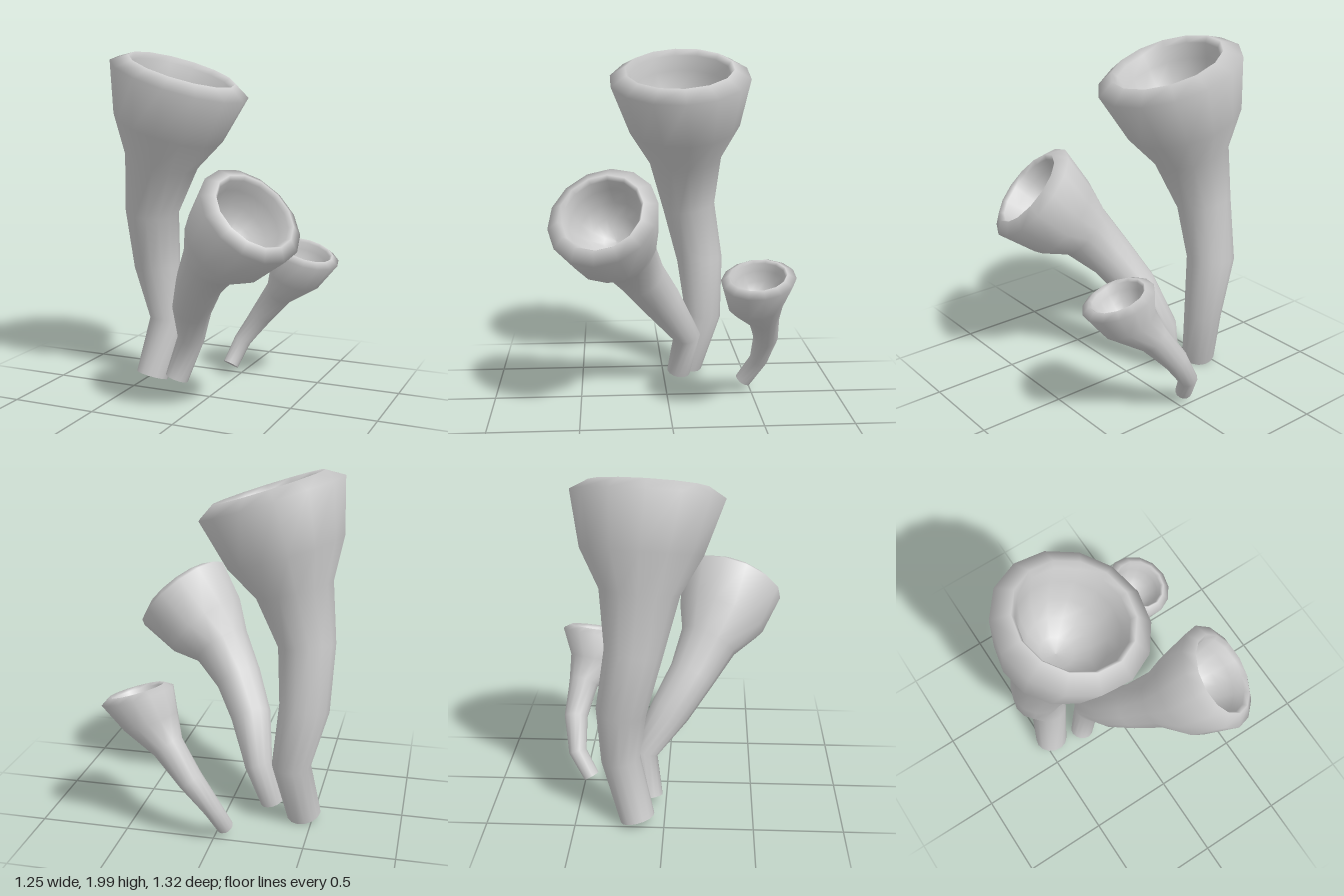
import * as THREE from 'three';

const SIDES = 14;

// Lip and hollow, as [radius, height along the mouth axis] relative to the rim radius
const CUP = [[0.77, 0.14], [0.71, 0.06], [0.66, -0.15], [0.57, -0.42], [0.42, -0.65], [0.22, -0.79], [0, -0.83]];

// Stalk rings as [x, y, z, radius] from foot to rim; mouth = direction the cup faces
const TRUMPETS = [
  {
    name: 'largeTrumpet', mouth: [0.32, 0.95, 0.05],
    rings: [
      [-0.45, 0.04, -0.15, 0.098], [-0.387, 0.385, -0.245, 0.11], [-0.45, 0.72, -0.23, 0.14],
      [-0.446, 1.06, -0.16, 0.16], [-0.366, 1.365, -0.13, 0.218], [-0.313, 1.565, -0.12, 0.33],
      [-0.227, 1.845, -0.09, 0.412],
    ],
  },
  {
    name: 'mediumTrumpet', mouth: [0.68, 0.68, 0.29],
    rings: [
      [-0.253, 0.065, -0.087, 0.07], [-0.178, 0.31, -0.13, 0.082], [-0.1, 0.545, 0.02, 0.117],
      [0.0, 0.725, 0.14, 0.135], [0.12, 0.885, 0.23, 0.17], [0.235, 0.985, 0.305, 0.255],
      [0.395, 1.155, 0.363, 0.306],
    ],
  },
  {
    name: 'smallTrumpet', mouth: [0.3, 0.95, 0.13],
    rings: [
      [-0.055, 0.07, -0.457, 0.048], [-0.01, 0.21, -0.54, 0.053], [0.11, 0.385, -0.56, 0.07],
      [0.24, 0.55, -0.525, 0.09], [0.355, 0.665, -0.46, 0.155], [0.425, 0.81, -0.463, 0.202],
    ],
  },
];

// One continuous skin: foot cap, stalk, flare, lip and hollow
function trumpetGeometry({ rings, mouth }) {
  const axis = new THREE.Vector3(...mouth).normalize();
  const centres = rings.map(([x, y, z]) => new THREE.Vector3(x, y, z));
  const last = rings.length - 1;
  const sections = rings.map((ring, i) => {
    const n = centres[Math.min(i + 1, last)].clone().sub(centres[Math.max(i - 1, 0)]).normalize();
    if (i === last) n.copy(axis);
    if (i === last - 1) n.lerp(axis, 0.7).normalize();
    return { c: centres[i], n, r: ring[3] };
  });
  // The foot ring is doubled to keep a sharp edge around the cap
  sections.unshift({ ...sections[0], r: 0 }, { ...sections[0] });
  const rim = rings[last][3];
  for (const [r, h] of CUP) {
    sections.push({ c: centres[last].clone().addScaledVector(axis, h * rim), n: axis, r: r * rim });
  }

  const positions = [], index = [];
  sections.forEach(({ c, n, r }, i) => {
    const u = new THREE.Vector3(1, 0, 0).addScaledVector(n, -n.x).normalize();
    const v = n.clone().cross(u);
    for (let j = 0; j < SIDES; j++) {
      const t = (j / SIDES) * Math.PI * 2;
      const p = c.clone().addScaledVector(u, r * Math.cos(t)).addScaledVector(v, r * Math.sin(t));
      positions.push(p.x, p.y, p.z);
      if (i === 0 || i === 2) continue;
      const a = (i - 1) * SIDES + j, b = (i - 1) * SIDES + (j + 1) % SIDES;
      if (i > 1) index.push(a, b, b + SIDES);
      if (r > 0) index.push(a, b + SIDES, a + SIDES);
    }
  });
  const geometry = new THREE.BufferGeometry();
  geometry.setAttribute('position', new THREE.Float32BufferAttribute(positions, 3));
  geometry.setIndex(index);
  geometry.computeVertexNormals();
  return geometry;
}

export function createModel() {
  const group = new THREE.Group();
  group.name = 'trumpetCluster';
  const material = new THREE.MeshStandardMaterial({ color: 0xcccccc });
  for (const trumpet of TRUMPETS) {
    const mesh = new THREE.Mesh(trumpetGeometry(trumpet), material);
    mesh.name = trumpet.name;
    group.add(mesh);
  }
  return group;
}
